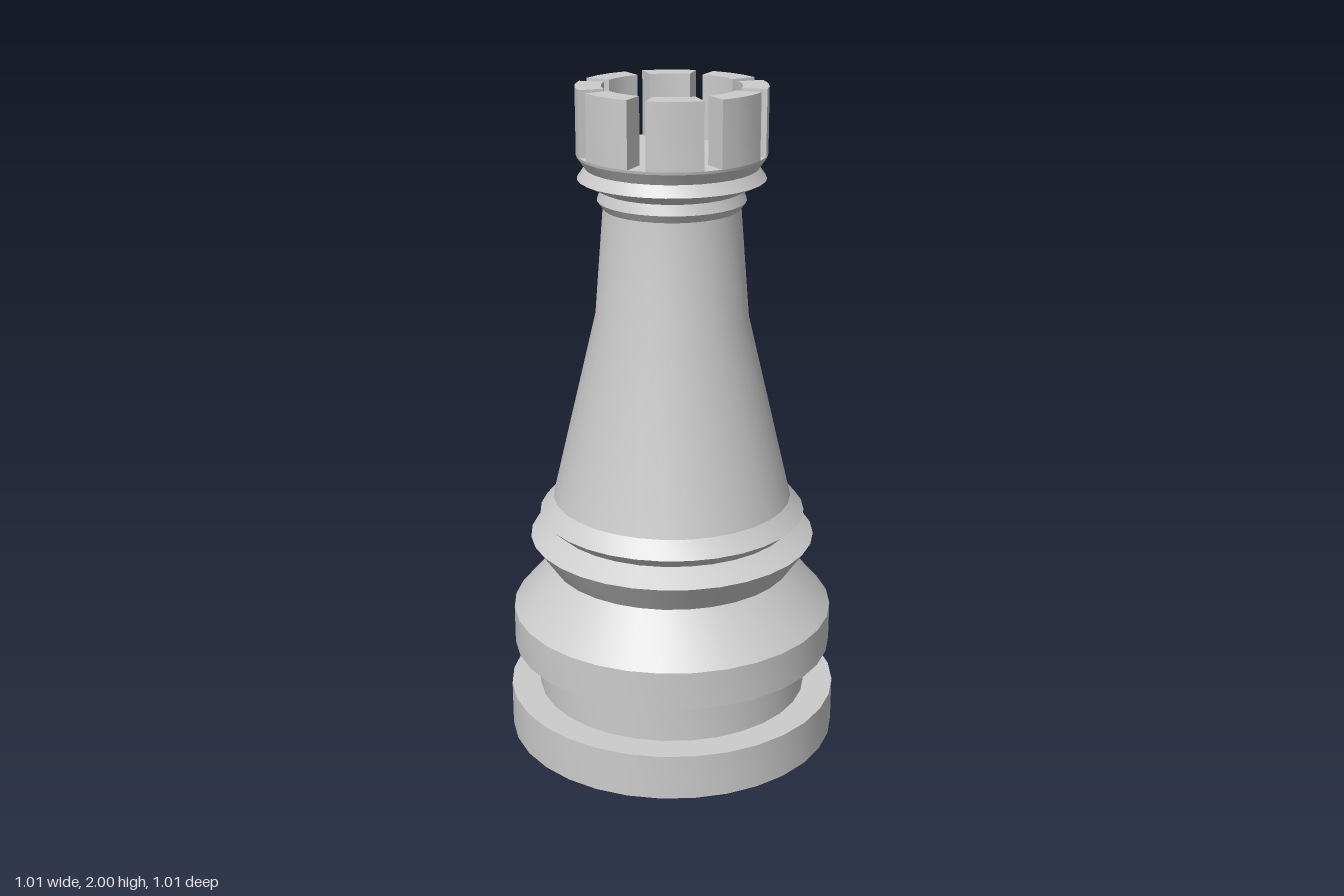
import * as THREE from 'three';
import { toCreasedNormals } from 'three/addons/utils/BufferGeometryUtils.js';

const SEGMENTS = 32;
const STEP = (Math.PI * 2) / SEGMENTS;
const FLOOR = 1.81, TOP = 2, OUTER = 0.274, INNER = 0.2;
const material = new THREE.MeshStandardMaterial({ color: 0xcccccc });

function addMesh(parent, name, geometry) {
  const mesh = new THREE.Mesh(toCreasedNormals(geometry, Math.PI / 9), material);
  mesh.name = name;
  parent.add(mesh);
}

// Turned body: [radius, height] from the underside to the turret floor
function bodyGeometry() {
  const profile = [
    [0, 0], [0.505, 0], [0.505, 0.14],              // foot
    [0.415, 0.14], [0.415, 0.287],                  // groove
    [0.49, 0.287], [0.49, 0.405], [0.368, 0.547],   // shoulder
    [0.432, 0.64], [0.366, 0.683],                  // lower ring
    [0.402, 0.717], [0.36, 0.765],                  // upper ring
    [0.226, 1.33], [0.2, 1.652],                    // tapered shaft
    [0.216, 1.675], [0.205, 1.705],                 // neck bead
    [0.272, 1.738], [0.25, 1.77],                   // collar
    [0.272, 1.802], [OUTER, FLOOR], [0, FLOOR],     // turret base and floor
  ].map(([r, y]) => new THREE.Vector2(r, y));
  return new THREE.LatheGeometry(profile, SEGMENTS);
}

// Battlement block: a curved wall three segments wide
function merlonGeometry(first) {
  const point = (r, i) => new THREE.Vector2(r * Math.sin(i * STEP), -r * Math.cos(i * STEP));
  const points = [];
  for (let i = 0; i <= 3; i++) points.push(point(OUTER, first + i));
  for (let i = 3; i >= 0; i--) points.push(point(INNER, first + i));
  const geometry = new THREE.ExtrudeGeometry(new THREE.Shape(points), {
    depth: TOP - FLOOR, bevelEnabled: false,
  });
  return geometry.rotateX(-Math.PI / 2).translate(0, FLOOR, 0);
}

export function createModel() {
  const model = new THREE.Group();
  model.name = 'rook';
  addMesh(model, 'body', bodyGeometry());

  // Eight blocks, each followed by a gap one segment wide
  const battlements = new THREE.Group();
  battlements.name = 'battlements';
  for (let k = 0; k < 8; k++) addMesh(battlements, 'merlon', merlonGeometry(k * 4 + 1));
  model.add(battlements);
  return model;
}
